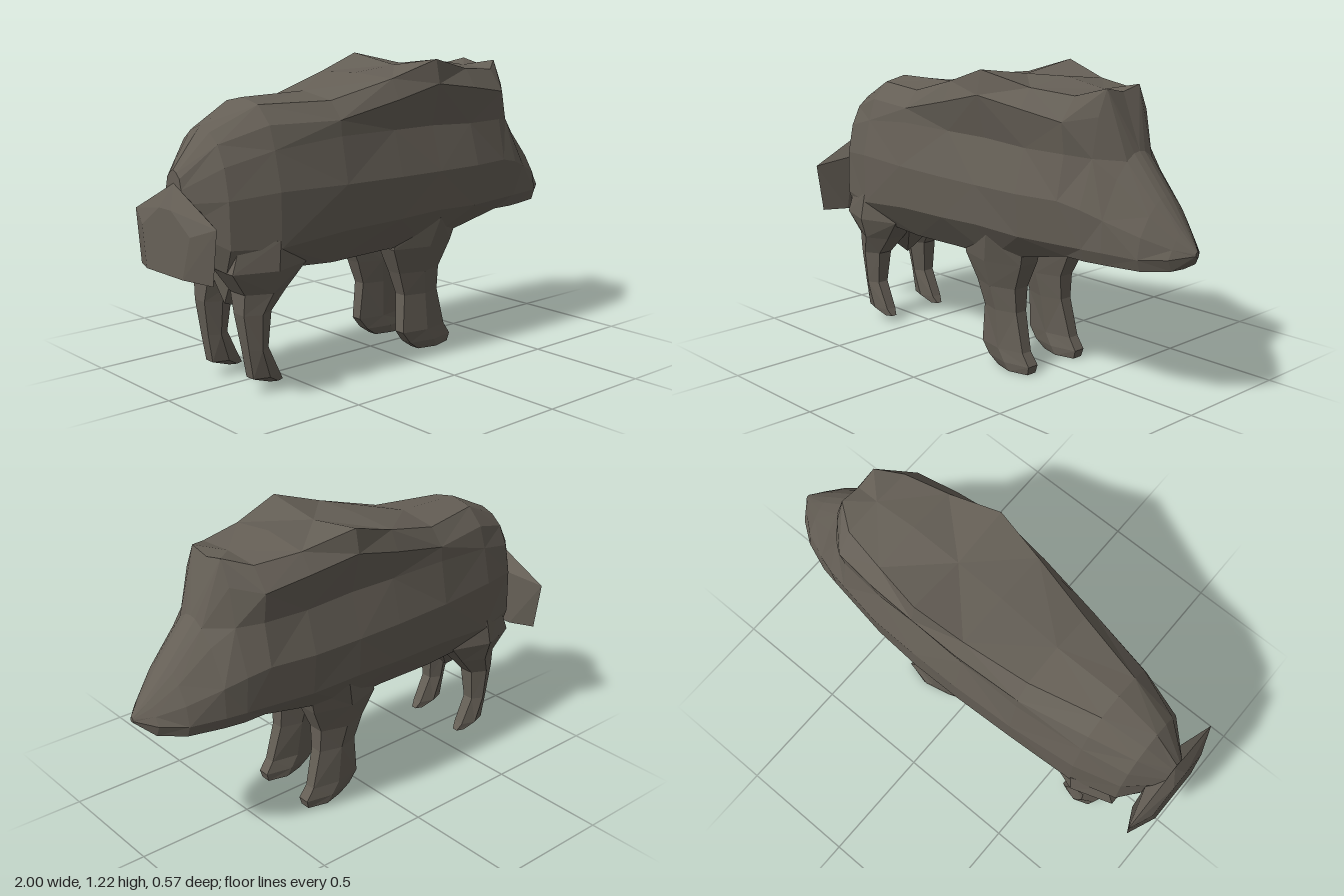
import * as THREE from 'three';
import { ConvexGeometry } from 'three/addons/geometries/ConvexGeometry.js';

const hide = new THREE.MeshStandardMaterial({ color: 0x655f56, flatShading: true });
hide.name = 'hide';

// Faceted skin over a row of closed rings, capped at both ends
function loft(rings) {
  const pos = [];
  const tri = (a, b, c) => pos.push(...a, ...b, ...c);
  const n = rings[0].length;
  for (let i = 0; i < rings.length - 1; i++) {
    for (let j = 0; j < n; j++) {
      const k = (j + 1) % n;
      const a = rings[i][j], b = rings[i][k], c = rings[i + 1][j], d = rings[i + 1][k];
      if ((i + j) % 2) { tri(a, c, b); tri(b, c, d); }
      else { tri(a, c, d); tri(a, d, b); }
    }
  }
  const first = rings[0], last = rings[rings.length - 1];
  for (let j = 1; j < n - 1; j++) {
    tri(first[0], first[j], first[j + 1]);
    tri(last[0], last[j + 1], last[j]);
  }
  const g = new THREE.BufferGeometry();
  g.setAttribute('position', new THREE.Float32BufferAttribute(pos, 3));
  g.computeVertexNormals();
  return g;
}

// Body sections: x, belly y, back y, then [z, y] pairs up one flank
const rump = [
  [-0.95, 0.56, 0.87, [0.03, 0.58], [0.05, 0.66], [0.06, 0.75], [0.05, 0.8], [0.04, 0.84], [0.02, 0.86]],
  [-0.83, 0.49, 1.02, [0.15, 0.49], [0.18, 0.58], [0.175, 0.76], [0.15, 0.88], [0.11, 0.96], [0.06, 1.0]],
  [-0.64, 0.47, 1.11, [0.17, 0.48], [0.235, 0.57], [0.235, 0.78], [0.2, 0.93], [0.17, 1.02], [0.1, 1.09]],
  [-0.35, 0.44, 1.115, [0.17, 0.46], [0.26, 0.6], [0.27, 0.78], [0.235, 0.96], [0.23, 1.02], [0.17, 1.09]],
];
const shoulders = [
  [-0.08, 0.45, 1.17, [0.18, 0.47], [0.275, 0.61], [0.283, 0.78], [0.235, 0.96], [0.26, 1.08], [0.22, 1.16]],
  [0.13, 0.44, 1.19, [0.19, 0.47], [0.28, 0.62], [0.285, 0.78], [0.23, 0.96], [0.27, 1.13], [0.25, 1.227]],
  [0.35, 0.5, 1.2, [0.19, 0.515], [0.265, 0.61], [0.28, 0.78], [0.23, 0.95], [0.255, 1.1], [0.2, 1.175]],
  [0.54, 0.57, 1.17, [0.2, 0.56], [0.235, 0.61], [0.25, 0.78], [0.215, 0.95], [0.23, 1.07], [0.16, 1.16]],
];
const head = [
  [0.635, 0.56, 1.17, [0.2, 0.56], [0.22, 0.61], [0.23, 0.76], [0.165, 0.94], [0.135, 1.09], [0.09, 1.19]],
  [0.72, 0.56, 0.96, [0.185, 0.56], [0.205, 0.61], [0.2, 0.73], [0.125, 0.87], [0.07, 0.93], [0.03, 0.955]],
  [0.85, 0.55, 0.81, [0.14, 0.555], [0.155, 0.6], [0.14, 0.68], [0.095, 0.75], [0.06, 0.785], [0.03, 0.805]],
  [0.94, 0.555, 0.7, [0.07, 0.56], [0.09, 0.605], [0.07, 0.64], [0.05, 0.67], [0.03, 0.69], [0.015, 0.698]],
  [1.0, 0.61, 0.63, [0.006, 0.612], [0.01, 0.617], [0.01, 0.62], [0.008, 0.625], [0.006, 0.628], [0.003, 0.63]],
];

// Mirror one flank to make a full ring
function bodyRing([x, belly, back, ...flank]) {
  const near = flank.map(([z, y]) => [x, y, z]);
  const far = flank.map(([z, y]) => [x, y, -z]).reverse();
  return [[x, belly, 0], ...near, [x, back, 0], ...far];
}

// Leg sections from hoof to hip: y, back x, front x, inner z, outer z
const foreSections = [
  [0.005, 0.13, 0.3, 0.09, 0.18],
  [0.04, 0.08, 0.31, 0.085, 0.187],
  [0.09, 0.04, 0.275, 0.09, 0.185],
  [0.25, 0.05, 0.235, 0.075, 0.185],
  [0.35, 0.015, 0.235, 0.06, 0.2],
  [0.46, -0.035, 0.285, 0.045, 0.23],
  [0.58, 0.0, 0.32, 0.04, 0.255],
];
const hindSections = [
  [0.035, -0.64, -0.58, 0.11, 0.16],
  [0.065, -0.725, -0.6, 0.09, 0.18],
  [0.18, -0.745, -0.655, 0.085, 0.185],
  [0.32, -0.767, -0.64, 0.065, 0.195],
  [0.4, -0.765, -0.57, 0.03, 0.215],
  [0.49, -0.83, -0.49, 0.01, 0.245],
  [0.6, -0.79, -0.5, 0.01, 0.235],
];

function leg(sections, side) {
  return loft(sections.map(([y, x0, x1, inner, outer]) => {
    const [z0, z1] = side > 0 ? [inner, outer] : [-outer, -inner];
    const xm = (x0 + x1) / 2, t = (z1 - z0) * 0.25;
    return [[x0, y, z0 + t], [xm, y, z0], [x1, y, z0 + t], [x1, y, z1 - t], [xm, y, z1], [x0, y, z1 - t]];
  }));
}

// Faceted solid around half its points and their mirror images
function mirroredHull(points) {
  return new ConvexGeometry(points.flatMap(([x, y, z]) =>
    (z === 0 ? [0] : [z, -z]).map((w) => new THREE.Vector3(x, y, w))));
}

export function createModel() {
  const model = new THREE.Group();
  model.name = 'boar';
  const add = (name, geometry) => {
    const mesh = new THREE.Mesh(geometry, hide);
    mesh.name = name;
    model.add(mesh);
  };

  add('body', loft([...rump, ...shoulders, ...head].map(bodyRing)));

  // Wedge joining the thighs under the belly
  add('groin', mirroredHull([
    [-0.76, 0.48, 0.09], [-0.5, 0.47, 0.1], [-0.66, 0.37, 0.08], [-0.64, 0.3, 0], [-0.74, 0.33, 0],
  ]));

  // Broad tail fan spanning the rump
  add('tailFan', mirroredHull([
    [-0.95, 0.82, 0], [-0.99, 0.73, 0.04], [-0.9, 0.72, 0.1], [-0.95, 0.69, 0.27],
    [-0.99, 0.65, 0.16], [-1, 0.49, 0.12], [-0.95, 0.48, 0.24], [-0.9, 0.48, 0.14],
  ]));

  for (const [side, label] of [[1, 'left'], [-1, 'right']]) {
    add(`${label}ForeLeg`, leg(foreSections, side));
    add(`${label}HindLeg`, leg(hindSections, side));
  }
  return model;
}
